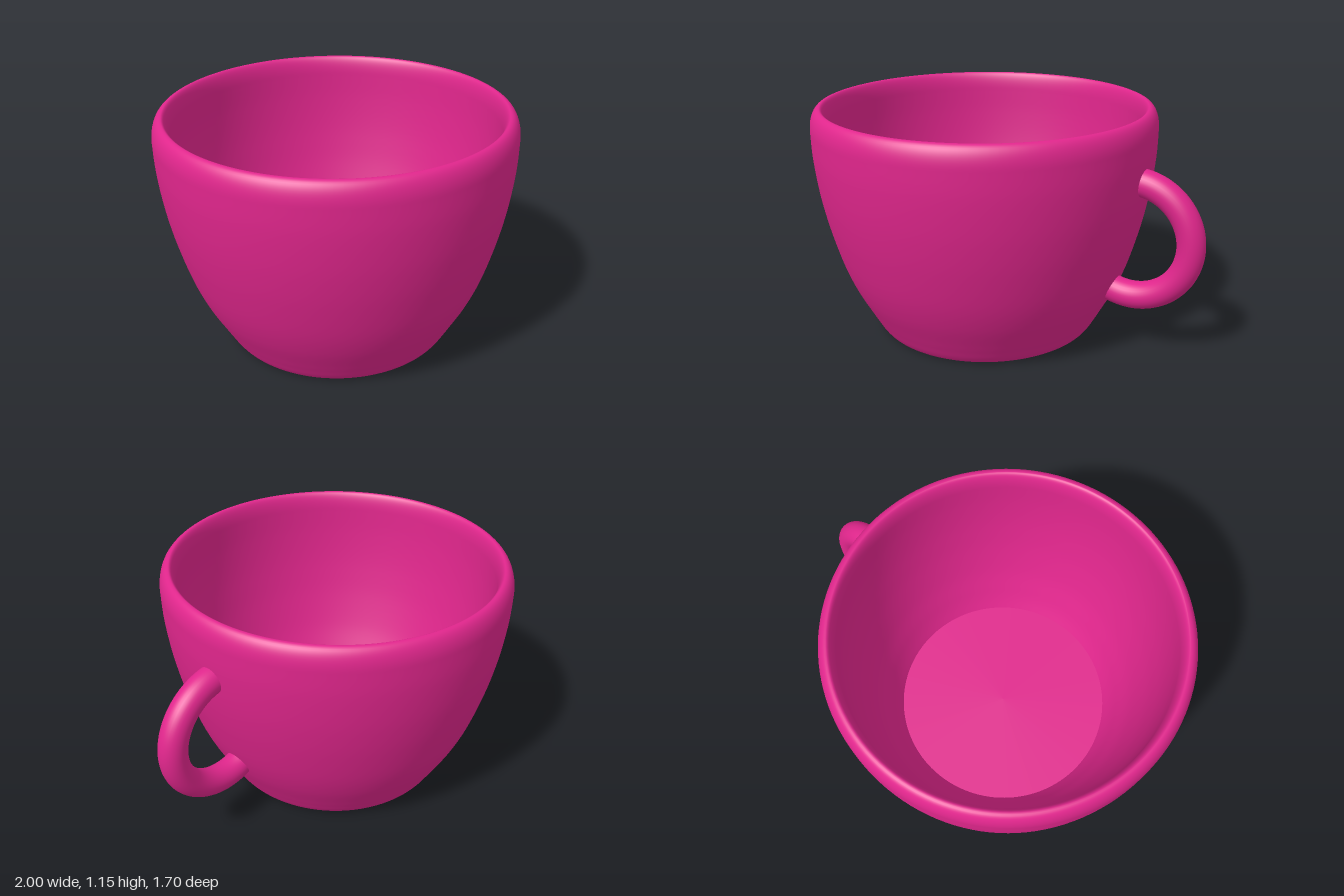
import * as THREE from 'three';

const AXIS_X = -0.15; // the bowl sits off-centre to leave room for the handle
const HEIGHT = 1.15;
const RIM_Y = 1.05; // where the rim rounding starts
const FLOOR_Y = 0.11;
const FOOT_RECESS = 0.02;

const toVectors = (pairs) => pairs.map(([r, y]) => new THREE.Vector2(r, y));
const smooth = (pairs, n) => new THREE.SplineCurve(toVectors(pairs)).getPoints(n);

export function createModel() {
  const model = new THREE.Group();
  const pink = new THREE.MeshStandardMaterial({ color: 0xe0268c });
  pink.name = 'pink glaze';

  const add = (name, geometry, x, y) => {
    const mesh = new THREE.Mesh(geometry, pink);
    mesh.name = name;
    mesh.position.set(x, y, 0);
    model.add(mesh);
    return mesh;
  };

  // Wall: round the foot, up the outside, over the rim, down the inside
  const outer = smooth([
    [0.515, FOOT_RECESS], [0.52, 0.005], [0.532, 0], [0.553, 0.01], [0.573, 0.036],
    [0.595, 0.075], [0.622, 0.124], [0.683, 0.24], [0.735, 0.37], [0.784, 0.54],
    [0.815, 0.68], [0.834, 0.8], [0.847, 0.93], [0.85, RIM_Y],
  ], 90);
  const rim = [];
  for (let i = 1; i < 24; i++) {
    const a = (i / 24) * Math.PI;
    const halfWidth = i < 12 ? 0.048 : 0.03;
    rim.push(new THREE.Vector2(0.802 + halfWidth * Math.cos(a), RIM_Y + (HEIGHT - RIM_Y) * Math.sin(a)));
  }
  const inner = smooth([
    [0.772, RIM_Y], [0.767, 0.93], [0.755, 0.8], [0.737, 0.68], [0.708, 0.54],
    [0.66, 0.37], [0.61, 0.24], [0.58, 0.17], [0.55, FLOOR_Y],
  ], 50);
  add('wall', new THREE.LatheGeometry([...outer, ...rim, ...inner], 128), AXIS_X, 0);

  // Inside floor and recessed underside
  add('innerFloor', new THREE.CircleGeometry(0.55, 128), AXIS_X, FLOOR_Y).rotation.x = -Math.PI / 2;
  add('underside', new THREE.CircleGeometry(0.515, 128), AXIS_X, FOOT_RECESS).rotation.x = Math.PI / 2;

  // Ring handle, its ends buried in the wall
  const start = THREE.MathUtils.degToRad(-114);
  const arc = THREE.MathUtils.degToRad(204);
  const handle = add('handle', new THREE.TorusGeometry(0.285, 0.067, 32, 80, arc), 0.6475, 0.5725);
  handle.rotation.z = start;

  return model;
}
